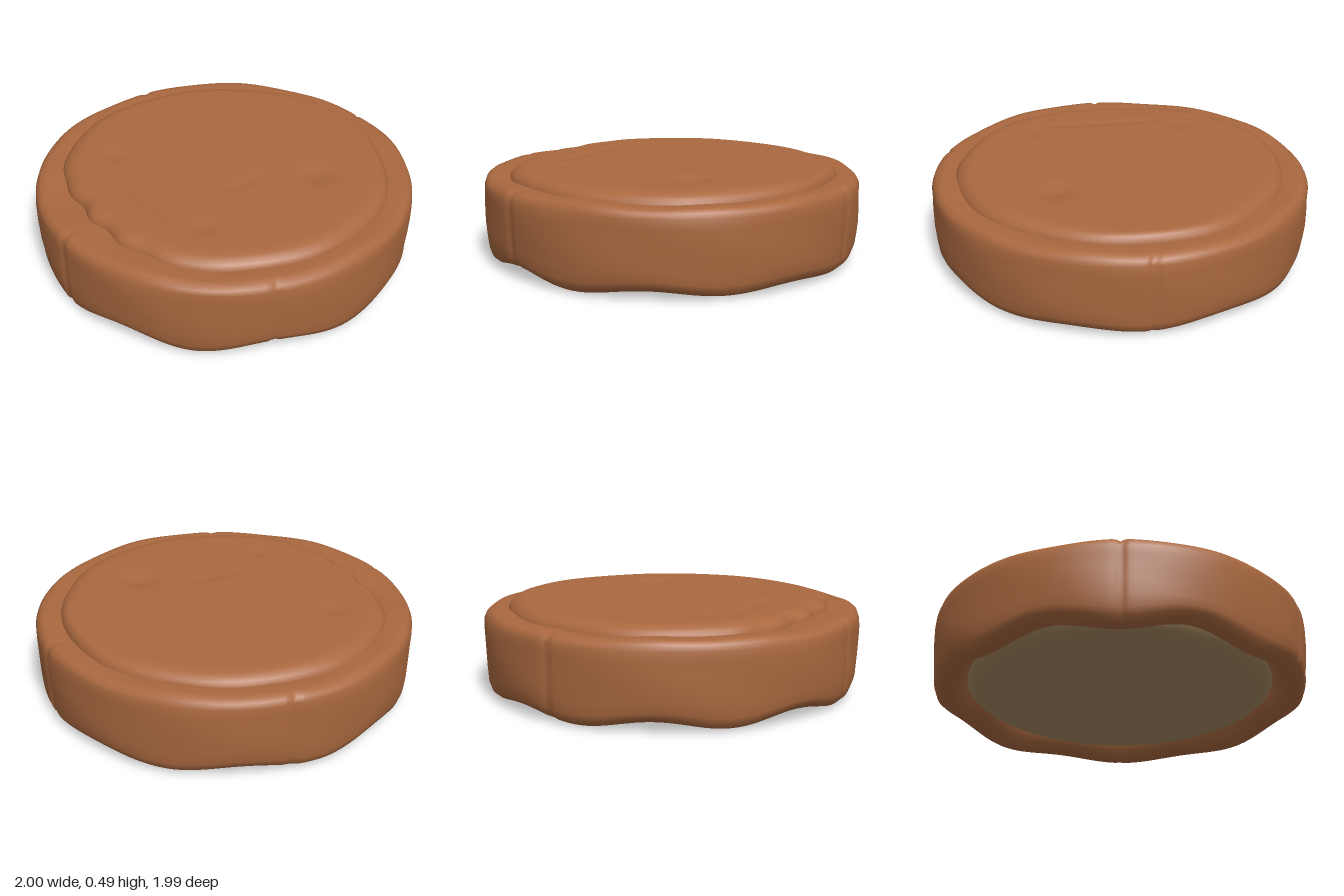
import * as THREE from 'three';

const SEGMENTS = 288;

// Smallest signed difference between two angles
const angleGap = (a, b) => Math.atan2(Math.sin(a - b), Math.cos(a - b));
const bump = (d, width) => Math.exp(-((d / width) ** 2));
const deg = THREE.MathUtils.degToRad;

// Closed surface of revolution whose rows may vary with the angle.
// rows run outward and upward; point(row, angle) gives [radius, height].
function polarSurface(rows, point) {
  const positions = [], index = [];
  rows.forEach((row) => {
    for (let j = 0; j < SEGMENTS; j++) {
      const a = (j / SEGMENTS) * Math.PI * 2; // 0 = front, growing towards +x
      const [r, y] = point(row, a);
      positions.push(r * Math.sin(a), y, r * Math.cos(a));
    }
  });
  for (let i = 0; i < rows.length - 1; i++) {
    for (let j = 0; j < SEGMENTS; j++) {
      const k = (j + 1) % SEGMENTS;
      const p = i * SEGMENTS + j, q = i * SEGMENTS + k;
      index.push(p, q, q + SEGMENTS, p, q + SEGMENTS, p + SEGMENTS);
    }
  }
  const geometry = new THREE.BufferGeometry();
  geometry.setAttribute('position', new THREE.Float32BufferAttribute(positions, 3));
  geometry.setIndex(index);
  geometry.computeVertexNormals();
  return geometry;
}

// Scalloped lower hem, deepest at the front
function hem(a) {
  const depth = 0.038 + 0.014 * Math.cos(a);
  return depth * (0.5 - 0.5 * Math.cos(8 * a)) + 0.006 * Math.sin(3 * a + 1) ** 2;
}

// Narrow grooves where the wrapped coating meets
const seams = [0, 67, 180, 262].map(deg);
const seamDepth = (a) =>
  seams.reduce((sum, s) => sum + 0.013 * bump(angleGap(a, s), 0.016), 0);

// Outer coating: [radius, height, share of hem movement, share of seam]
const coatingProfile = [
  [0.80, 0.13, 0, 0], [0.815, 0.085, 0.4, 0], [0.835, 0.045, 0.8, 0],
  [0.865, 0.015, 1, 0.2], [0.905, 0.003, 1, 0.4], [0.945, 0.01, 1, 0.7],
  [0.972, 0.032, 1, 1], [0.985, 0.07, 0.8, 1], [0.993, 0.13, 0.45, 1],
  [0.998, 0.2, 0.1, 1], [1, 0.28, 0, 1], [1, 0.35, 0, 1], [0.996, 0.395, 0, 1],
  [0.985, 0.422, 0, 1], [0.965, 0.438, 0, 0.8], [0.935, 0.443, 0, 0.5],
  [0.88, 0.439, 0, 0.2], [0.82, 0.434, 0, 0], [0.7, 0.43, 0, 0],
];

function coatingPoint([r, y, hemShare, seamShare], a) {
  const groove = seamDepth(a) * seamShare;
  const rimWave = y > 0.41 ? 0.004 * Math.sin(5 * a) + 0.003 * Math.sin(11 * a + 2) : 0;
  const dent = y > 0.1 && y < 0.36 ? 0.003 * (Math.sin(7 * a + y * 14) - 1) : 0;
  return [r - groove + dent, y + hem(a) * hemShare + rimWave - (y > 0.4 ? groove * 0.7 : 0)];
}

// Uneven outline of the raised top
function topRadius(a) {
  const front = bump(angleGap(a, 0), 0.5);
  return 0.866 - 0.075 * front + 0.014 * front * Math.cos(19 * a + 1)
    + 0.006 * Math.sin(4 * a) + 0.004 * Math.sin(9 * a + 1);
}

// Shallow dents and folds pressed into the top
function topRelief(x, z) {
  const dent = 0.02 * bump(Math.hypot(x - 0.38, z + 0.33), 0.085);
  const frontFold = 0.009 * bump(z - 0.52, 0.035) * bump(x, 0.42);
  const sideFold = 0.006 * bump(x - 0.22, 0.03) * bump(z - 0.02, 0.17);
  const corners = 0.01 * bump(Math.hypot(Math.abs(x) - 0.41, z - 0.43), 0.06);
  return -dent - frontFold - sideFold - corners + 0.002 * Math.sin(6 * x + 2) * Math.cos(5 * z);
}

// Raised top: [fraction of outline, height, relief share]
const topProfile = [
  [1.004, 0.42, 0], [1, 0.44, 0], [0.985, 0.458, 0], [0.965, 0.472, 0],
  [0.94, 0.482, 0], [0.91, 0.487, 0.3],
];
for (let i = 0; i <= 34; i++) topProfile.push([0.88 * (1 - i / 34) + 0.0005, 0.488, 1]);

function topPoint([f, y, reliefShare], a) {
  // The edge is steeper at the back than at the front
  const steep = f > 0.9 ? 1 + (1 - f) * 0.5 * bump(angleGap(a, Math.PI), 0.5) : 1;
  const r = f * steep * topRadius(a);
  return [r, y + reliefShare * topRelief(r * Math.sin(a), r * Math.cos(a))];
}

// Base with rounded edge, flat underneath
const baseProfile = [
  [0.0005, 0.042], [0.66, 0.042], [0.71, 0.046], [0.75, 0.056],
  [0.785, 0.074], [0.81, 0.1], [0.825, 0.14], [0.825, 0.3],
];

export function createModel() {
  const coatingColour = new THREE.MeshStandardMaterial({ color: 0xa9683f });
  coatingColour.name = 'brown coating';
  const baseColour = new THREE.MeshStandardMaterial({ color: 0xa5885f });
  baseColour.name = 'pale base';

  const model = new THREE.Group();
  model.name = 'coatedDisc';
  const add = (name, geometry, material) => {
    const mesh = new THREE.Mesh(geometry, material);
    mesh.name = name;
    model.add(mesh);
  };

  add('outerCoating', polarSurface(coatingProfile, coatingPoint), coatingColour);
  add('raisedTop', polarSurface(topProfile, topPoint), coatingColour);
  add('base', polarSurface(baseProfile, (row) => row), baseColour);
  return model;
}
